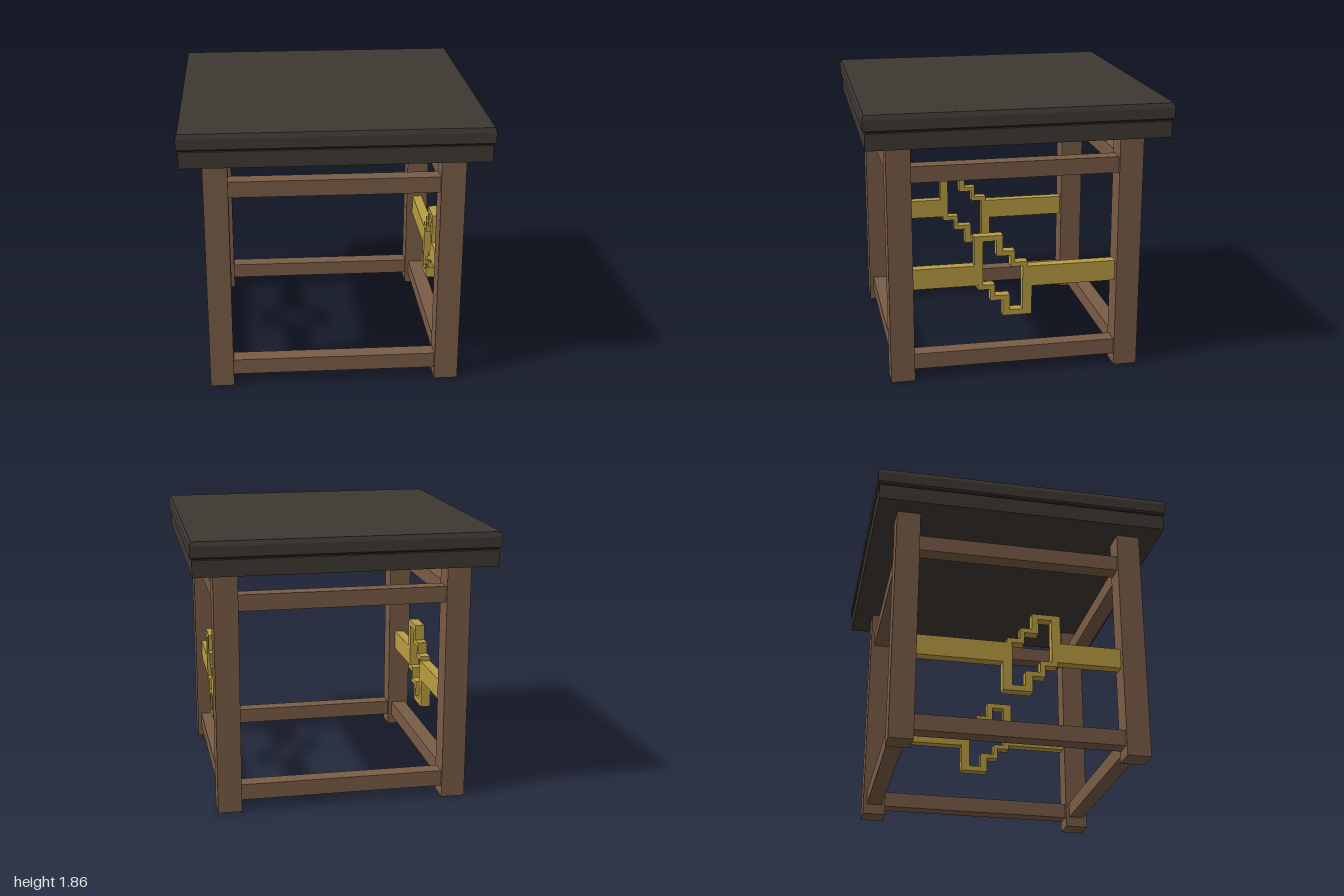
import * as THREE from 'three';

const material = (name, color) => {
  const m = new THREE.MeshStandardMaterial({ color });
  m.name = name;
  return m;
};

export function createModel() {
  const model = new THREE.Group();
  model.name = 'sideTable';
  const wood = material('brown wood', 0x795c46);
  const dark = material('dark top', 0x3e3832);
  const gold = material('gold', 0xb99c42);

  const add = (name, geometry, mat, x = 0, y = 0, z = 0) => {
    const mesh = new THREE.Mesh(geometry, mat);
    mesh.name = name;
    mesh.position.set(x, y, z);
    model.add(mesh);
    return mesh;
  };

  // Square solid from a profile of [half width, height]
  const squareSolid = (profile) => {
    const points = profile.map(([r, y]) => new THREE.Vector2(r * Math.SQRT2, y));
    const g = new THREE.LatheGeometry(points, 4).rotateY(Math.PI / 4).toNonIndexed();
    g.computeVertexNormals();
    return g;
  };

  // Table top: apron, narrow recess and bevelled slab
  add('tableTop', squareSolid([
    [0, 1.63], [0.985, 1.63], [0.985, 1.738], [0.972, 1.738], [0.972, 1.747],
    [0.988, 1.747], [0.998, 1.757], [0.998, 1.826], [0.988, 1.857], [0, 1.857],
  ]), dark);

  // Legs
  const c = 0.767;
  const legGeometry = new THREE.BoxGeometry(0.16, 1.63, 0.16);
  for (const x of [-c, c]) {
    for (const z of [-c, c]) add('leg', legGeometry, wood, x, 0.815, z);
  }

  // Upper and lower rails on all four sides
  const railX = new THREE.BoxGeometry(1.374, 0.108, 0.108);
  const railZ = new THREE.BoxGeometry(0.108, 0.108, 1.374);
  for (const y of [0.127, 1.42]) {
    for (const s of [-c, c]) {
      add('crossRail', railX, wood, 0, y, s);
      add('sideRail', railZ, wood, s, y, 0);
    }
  }

  // Stepped fretwork, drawn as [z, y]
  const toPoints = (list) => list.map(([z, y]) => new THREE.Vector2(z, y));
  const fret = new THREE.Shape(toPoints([
    [0.687, 0.77], [0.276, 0.77], [0.276, 0.973], [0.083, 0.973], [0.083, 0.861],
    [0.002, 0.861], [0.002, 0.78], [-0.084, 0.78], [-0.084, 0.746], [-0.687, 0.746],
    [-0.687, 0.605], [-0.115, 0.605], [-0.115, 0.405], [0.083, 0.405], [0.083, 0.518],
    [0.168, 0.518], [0.168, 0.599], [0.253, 0.599], [0.253, 0.631], [0.687, 0.631],
  ]));
  fret.holes.push(new THREE.Path(toPoints([
    [0.216, 0.936], [0.126, 0.936], [0.126, 0.829], [0.03, 0.829], [0.03, 0.749],
    [-0.052, 0.749], [-0.052, 0.444], [0.035, 0.444], [0.035, 0.551], [0.137, 0.551],
    [0.137, 0.631], [0.216, 0.631],
  ])));
  const fretGeometry = new THREE.ExtrudeGeometry(fret, { depth: 0.07, bevelEnabled: false })
    .translate(0, 0, -0.035)
    .rotateY(-Math.PI / 2);
  add('leftFretwork', fretGeometry, gold, c);
  add('rightFretwork', fretGeometry, gold, -c);

  return model;
}
